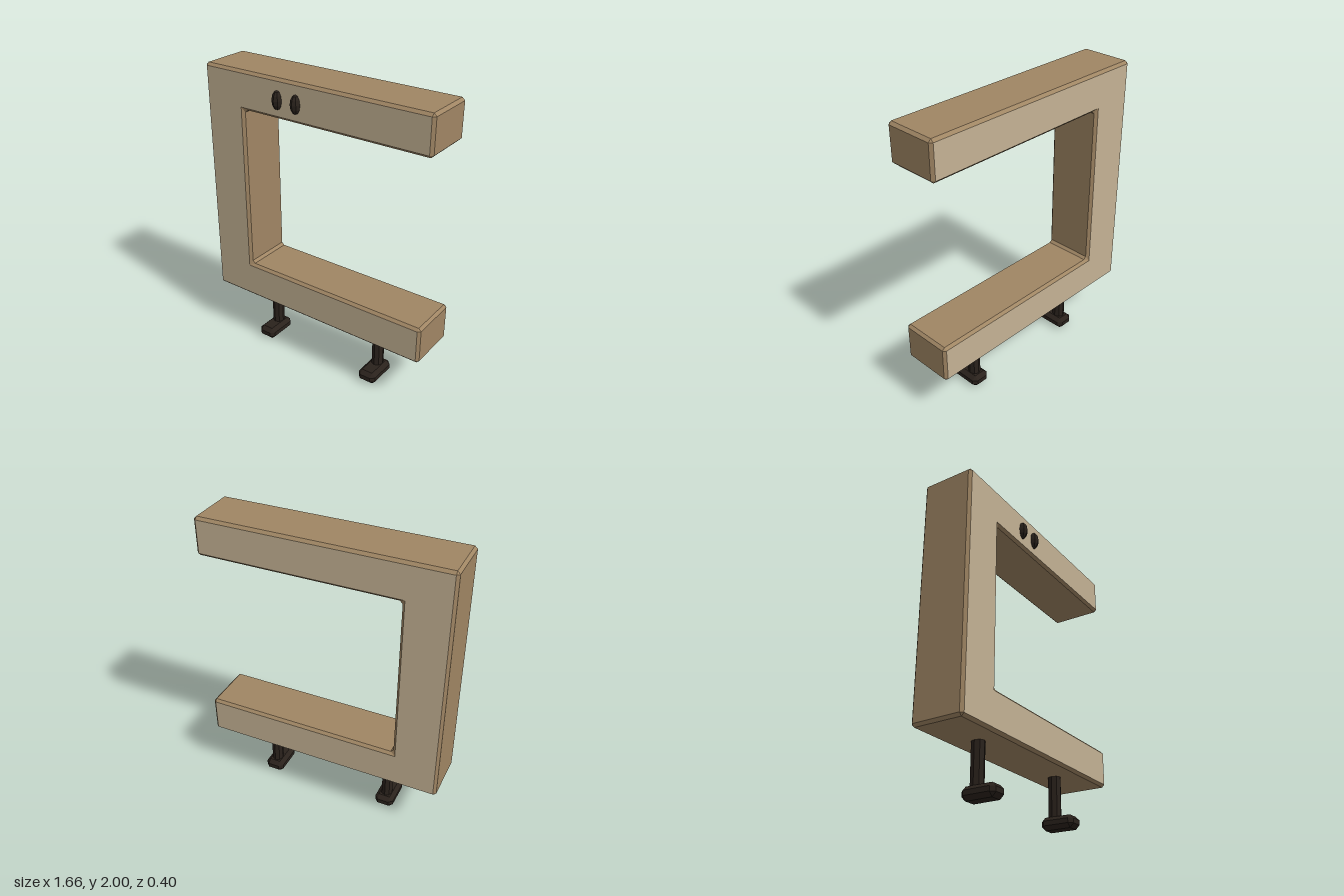
import * as THREE from 'three';
import { ConvexGeometry } from 'three/addons/geometries/ConvexGeometry.js';

const BEVEL = 0.018;
const Z_BACK = -0.2, Z_FRONT = 0.16;

const material = (color) => new THREE.MeshStandardMaterial({ color, flatShading: true });

// Corners of the flat C-shaped face, anticlockwise seen from the front
const FACE = [
  [-0.812, 0.373], [0.812, 0.373], [0.812, 0.598], [-0.538, 0.598],
  [-0.538, 1.76], [0.812, 1.76], [0.812, 1.982], [-0.812, 1.982],
].map(([x, y]) => new THREE.Vector2(x, y));

// Two points per corner: the wider outline, with its corners cut off
function outline() {
  const points = [];
  FACE.forEach((p, i) => {
    const a = p.clone().sub(FACE.at(i - 1)).normalize();
    const b = FACE[(i + 1) % FACE.length].clone().sub(p).normalize();
    const nIn = new THREE.Vector2(a.y, -a.x), nOut = new THREE.Vector2(b.y, -b.x);
    const k = a.cross(b) < 0 ? 2 * BEVEL : 0; // inner corners are cut further out
    points.push(p.clone().addScaledVector(nIn, BEVEL).addScaledVector(nOut, k));
    points.push(p.clone().addScaledVector(nOut, BEVEL).addScaledVector(nIn, k));
  });
  return points;
}

// Sides and bevels, lofted from back to front
function rimGeometry() {
  const inner = FACE.flatMap((p) => [p, p]), outer = outline();
  const rings = [
    [inner, Z_BACK], [outer, Z_BACK + BEVEL], [outer, Z_FRONT - BEVEL], [inner, Z_FRONT],
  ].map(([ring, z]) => ring.map((p) => new THREE.Vector3(p.x, p.y, z)));
  const positions = [];
  const triangle = (a, b, c) => {
    if (a.equals(b) || b.equals(c) || a.equals(c)) return;
    for (const v of [a, b, c]) positions.push(v.x, v.y, v.z);
  };
  for (let r = 0; r < 3; r++) {
    for (let i = 0; i < outer.length; i++) {
      const j = (i + 1) % outer.length;
      triangle(rings[r][i], rings[r][j], rings[r + 1][j]);
      triangle(rings[r][i], rings[r + 1][j], rings[r + 1][i]);
    }
  }
  const geometry = new THREE.BufferGeometry();
  geometry.setAttribute('position', new THREE.Float32BufferAttribute(positions, 3));
  geometry.computeVertexNormals();
  return geometry;
}

// Box with every edge cut off
function chamferedBox(w, h, d, c) {
  const points = [];
  for (const x of [-1, 1]) for (const y of [-1, 1]) for (const z of [-1, 1]) {
    for (let axis = 0; axis < 3; axis++) {
      const half = [w / 2, h / 2, d / 2].map((s, i) => (i === axis ? s : s - c));
      points.push(new THREE.Vector3(x * half[0], y * half[1], z * half[2]));
    }
  }
  return new ConvexGeometry(points);
}

export function createModel() {
  const model = new THREE.Group();
  model.name = 'letterShapedFigure';
  const wood = material(0xa08664), paleWood = material(0xc4b294), dark = material(0x2a221c);

  const add = (parent, name, geometry, mat, x = 0, y = 0, z = 0) => {
    const mesh = new THREE.Mesh(geometry, mat);
    mesh.name = name;
    mesh.position.set(x, y, z);
    parent.add(mesh);
    return mesh;
  };

  // Body
  const body = new THREE.Group();
  body.name = 'body';
  model.add(body);
  add(body, 'bodySides', rimGeometry(), wood);
  const face = new THREE.ShapeGeometry(new THREE.Shape(FACE));
  add(body, 'bodyFront', face, paleWood, 0, 0, Z_FRONT);
  const back = face.clone().scale(-1, 1, 1).rotateY(Math.PI);
  // mirroring reverses the corner order, so turn each triangle round again
  const index = back.index.array;
  for (let i = 0; i < index.length; i += 3) [index[i], index[i + 1]] = [index[i + 1], index[i]];
  back.computeVertexNormals();
  add(body, 'bodyBack', back, paleWood, 0, 0, Z_BACK);

  // Eyes
  const eye = new THREE.SphereGeometry(1, 8, 6).scale(0.033, 0.062, 0.04);
  add(model, 'rightEye', eye, dark, -0.24, 1.865, Z_FRONT);
  add(model, 'leftEye', eye, dark, -0.1, 1.865, Z_FRONT);

  // Legs and feet
  const leg = new THREE.CylinderGeometry(1, 1, 0.34, 8).scale(0.039, 1, 0.045);
  const foot = chamferedBox(0.132, 0.085, 0.235, 0.027);
  for (const [side, x] of [['right', -0.435], ['left', 0.432]]) {
    add(model, side + 'Leg', leg, dark, x, 0.22, -0.018);
    add(model, side + 'Foot', foot, dark, x, 0.0425, 0.022);
  }
  return model;
}
